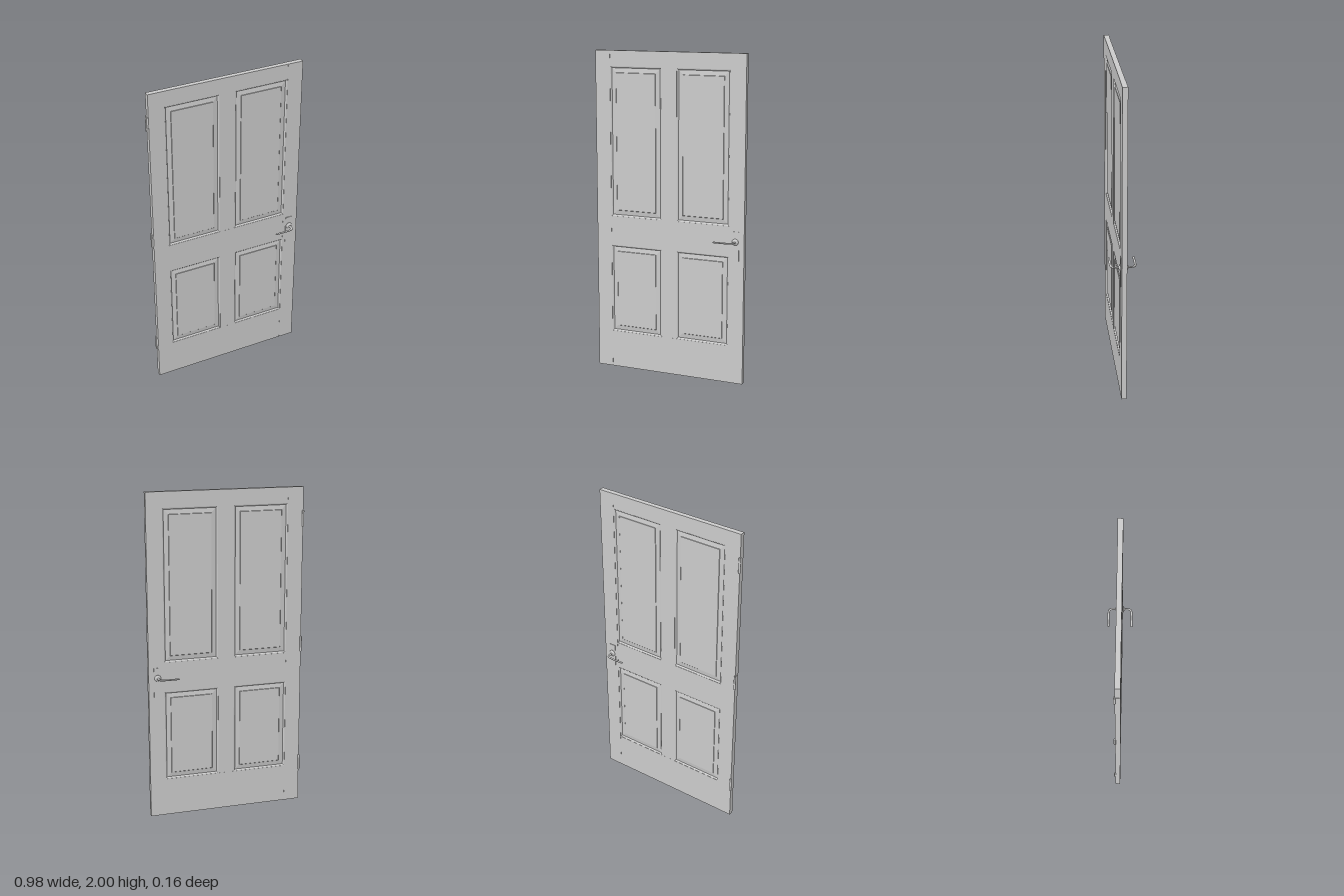
import * as THREE from 'three';

const H = 2, HALF_W = 0.485, HALF_T = 0.0155;
const material = new THREE.MeshStandardMaterial({ color: 0xcccccc });

function add(parent, name, geometry, x = 0, y = 0, z = 0) {
  const mesh = new THREE.Mesh(geometry, material);
  mesh.name = name;
  mesh.position.set(x, y, z);
  parent.add(mesh);
  return mesh;
}

// Box given by its x and y limits and half its thickness
function board(parent, name, x0, x1, y0, y1, halfT) {
  add(parent, name, new THREE.BoxGeometry(x1 - x0, y1 - y0, halfT * 2), (x0 + x1) / 2, (y0 + y1) / 2, 0);
}

// Moulded panel face: nested rectangles, each [inset, depth below the door face]
function panelFace(w, h) {
  const rings = [[0, 0.002], [0.004, 0.003], [0.01, 0.009], [0.038, 0.005], [0.04, 0.003]];
  const pos = [], index = [];
  for (const [inset, depth] of rings) {
    const a = w / 2 - inset, b = h / 2 - inset, z = HALF_T - depth;
    pos.push(-a, -b, z, a, -b, z, a, b, z, -a, b, z);
  }
  const last = (rings.length - 1) * 4;
  for (let r = 0; r < last; r += 4) {
    for (let i = 0; i < 4; i++) {
      const j = (i + 1) % 4;
      index.push(r + i, r + j, r + 4 + j, r + i, r + 4 + j, r + 4 + i);
    }
  }
  index.push(last, last + 1, last + 2, last, last + 2, last + 3);
  const indexed = new THREE.BufferGeometry();
  indexed.setAttribute('position', new THREE.Float32BufferAttribute(pos, 3));
  indexed.setIndex(index);
  const geometry = indexed.toNonIndexed();
  geometry.computeVertexNormals();
  return geometry;
}

// Lever handle with back plate, facing +z
function createHandle() {
  const handle = new THREE.Group();
  handle.name = 'handle';
  add(handle, 'backPlate', new THREE.BoxGeometry(0.046, 0.18, 0.004), 0, -0.027, HALF_T + 0.001);

  // Turned collar around the spindle
  const profile = [[0, 0], [0.02, 0], [0.02, 0.003], [0.016, 0.006], [0.01, 0.008], [0.008, 0.012], [0, 0.012]]
    .map(([r, y]) => new THREE.Vector2(r, y));
  const collar = add(handle, 'collar', new THREE.LatheGeometry(profile, 24), 0, 0, HALF_T + 0.002);
  collar.rotation.x = Math.PI / 2;

  // Spindle and arm as one swept bar, flattened vertically
  const path = new THREE.CurvePath();
  const v = (x, z) => new THREE.Vector3(x, 0, z);
  path.add(new THREE.LineCurve3(v(0, HALF_T), v(0, 0.05)));
  path.add(new THREE.QuadraticBezierCurve3(v(0, 0.05), v(0, 0.071), v(-0.03, 0.0725)));
  path.add(new THREE.QuadraticBezierCurve3(v(-0.03, 0.0725), v(-0.07, 0.0745), v(-0.116, 0.0725)));
  const lever = add(handle, 'lever', new THREE.TubeGeometry(path, 40, 0.0065, 12, false));
  lever.scale.y = 0.75;
  const tip = add(handle, 'leverTip', new THREE.SphereGeometry(0.0065, 12, 8), -0.116, 0, 0.0725);
  tip.scale.y = 0.75;
  return handle;
}

export function createModel() {
  const door = new THREE.Group();
  door.name = 'door';

  // Full-height stiles, with the rails set back a hair to show the joints
  const inner = 0.388, railT = HALF_T - 0.0006, mullion = 0.05;
  board(door, 'hingeStile', -HALF_W, -inner, 0, H, HALF_T);
  board(door, 'lockStile', inner, HALF_W, 0, H, HALF_T);
  board(door, 'bottomRail', -inner, inner, 0, 0.235, railT);
  board(door, 'lockRail', -inner, inner, 0.795, 0.98, railT);
  board(door, 'topRail', -inner, inner, 1.905, H, railT);

  // Mullions and moulded panels on both faces
  for (const [y0, y1] of [[0.235, 0.795], [0.98, 1.905]]) {
    board(door, 'mullion', -mullion, mullion, y0, y1, railT - 0.0004);
    const geometry = panelFace(inner - mullion, y1 - y0);
    for (const side of [-1, 1]) {
      const panel = new THREE.Group();
      panel.name = 'panel';
      panel.position.set(side * (inner + mullion) / 2, (y0 + y1) / 2, 0);
      add(panel, 'panelFront', geometry);
      add(panel, 'panelBack', geometry).rotation.y = Math.PI;
      door.add(panel);
    }
  }

  // Matching lever handles on front and back
  for (const side of [1, -1]) {
    const handle = createHandle();
    handle.position.set(0.43, 0.887, 0);
    if (side < 0) {
      handle.rotation.y = Math.PI;
      // Turn the arm back towards the hinge side
      for (const part of handle.children) {
        if (part.name === 'lever') part.scale.x = -1;
        if (part.name === 'leverTip') part.position.x *= -1;
      }
    }
    door.add(handle);
  }

  // Hinges on the back edge
  for (const y of [0.25, 1.03, 1.81]) {
    const hinge = new THREE.Group();
    hinge.name = 'hinge';
    hinge.position.set(-0.484, y, 0);
    add(hinge, 'knuckle', new THREE.CylinderGeometry(0.0065, 0.0065, 0.094, 16), 0, 0, -0.0175);
    for (const s of [-1, 1]) {
      add(hinge, 'pinCap', new THREE.CylinderGeometry(0.004, 0.004, 0.003, 12), 0, s * 0.0485, -0.0175);
    }
    add(hinge, 'leaf', new THREE.BoxGeometry(0.004, 0.09, 0.027), 0, 0, -0.003);
    door.add(hinge);
  }
  return door;
}
